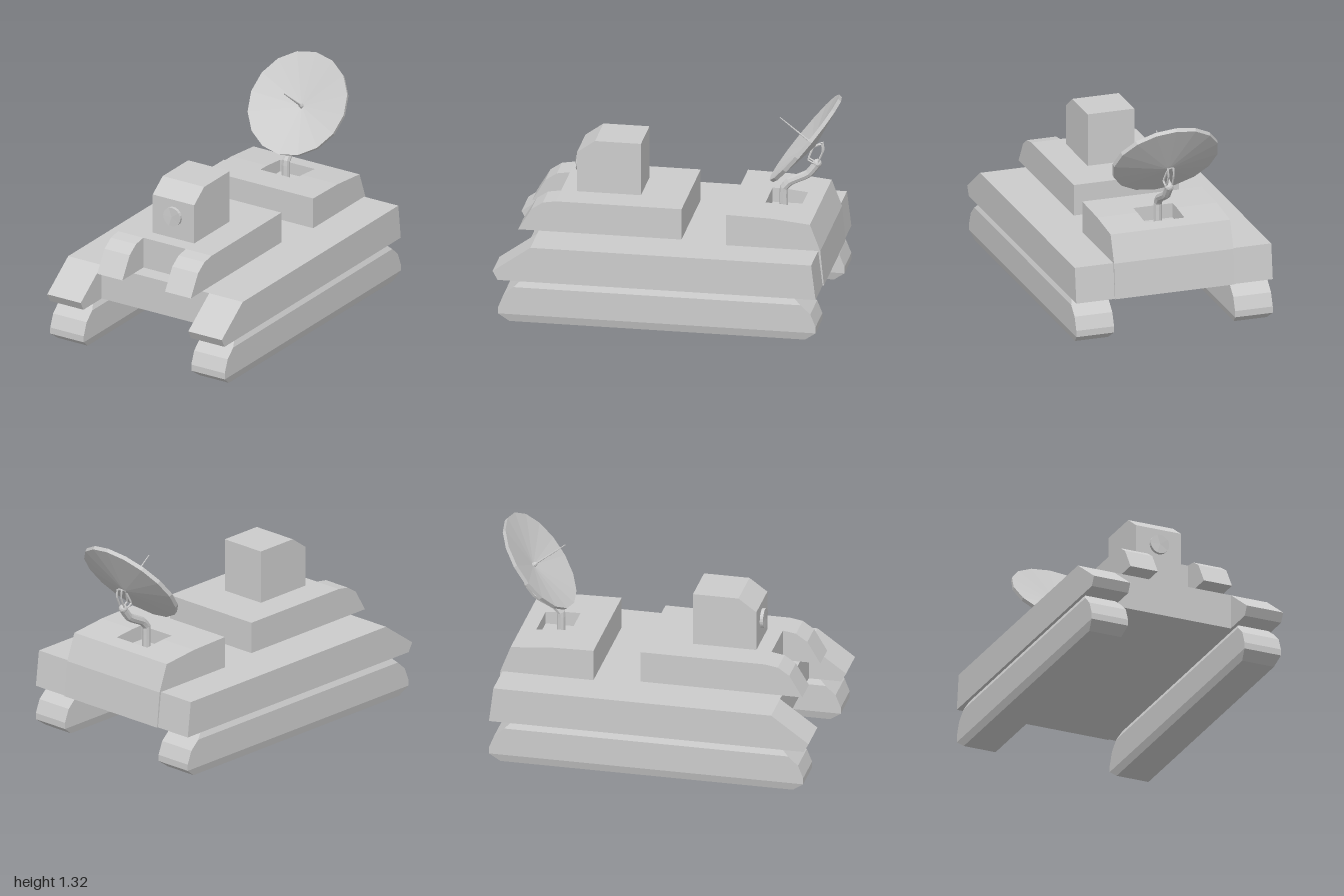
import * as THREE from 'three';

const material = new THREE.MeshStandardMaterial({ color: 0xcccccc, flatShading: true });
const thinMaterial = new THREE.MeshStandardMaterial({ color: 0xcccccc, flatShading: true, side: THREE.DoubleSide });

function add(parent, name, geometry, mat = material) {
  const mesh = new THREE.Mesh(geometry, mat);
  mesh.name = name;
  parent.add(mesh);
  return mesh;
}

// Side outline given as [z, y] points, extruded across x from x0 to x1
function slab(points, x0, x1) {
  const shape = new THREE.Shape(points.map(([z, y]) => new THREE.Vector2(z, y)));
  const geometry = new THREE.ExtrudeGeometry(shape, { depth: x1 - x0, bevelEnabled: false });
  return geometry.rotateY(-Math.PI / 2).translate(x1, 0, 0);
}

// Stack of rectangles given as [y, half width, half length]
function stack(levels) {
  const pos = [], index = [];
  for (const [y, w, l] of levels) pos.push(w, y, l, w, y, -l, -w, y, -l, -w, y, l);
  for (let i = 0; i < levels.length - 1; i++) {
    for (let j = 0; j < 4; j++) {
      const a = i * 4 + j, b = i * 4 + (j + 1) % 4;
      index.push(a, b, b + 4, a, b + 4, a + 4);
    }
  }
  const t = (levels.length - 1) * 4;
  index.push(t, t + 1, t + 2, t, t + 2, t + 3, 0, 2, 1, 0, 3, 2);
  const geometry = new THREE.BufferGeometry();
  geometry.setAttribute('position', new THREE.Float32BufferAttribute(pos, 3));
  geometry.setIndex(index);
  geometry.computeVertexNormals();
  return geometry;
}

// Pipe through [x, y, z] points
function pipe(points, radius, sides, steps) {
  const curve = new THREE.CatmullRomCurve3(points.map((p) => new THREE.Vector3(...p)), false, 'catmullrom', 0.15);
  return new THREE.TubeGeometry(curve, steps, radius, sides);
}

export function createModel() {
  const model = new THREE.Group();
  model.name = 'trackedDishVehicle';

  // Hull
  add(model, 'hullCentre', slab([[0.77, 0.265], [0.77, 0.485], [-0.94, 0.485], [-0.967, 0.265]], -0.385, 0.385));

  // Tracks and the fenders above them
  const trackLevels = [
    [0, 0.105, 0.9], [0.05, 0.12, 0.967], [0.09, 0.12, 0.967],
    [0.17, 0.12, 0.935], [0.225, 0.12, 0.874], [0.265, 0.1, 0.83],
  ];
  const fender = [[0.97, 0.265], [1, 0.32], [0.77, 0.485], [-0.94, 0.485], [-0.967, 0.265]];
  for (const side of [1, -1]) {
    const name = side > 0 ? 'left' : 'right';
    add(model, name + 'Track', stack(trackLevels)).position.x = side * 0.505;
    const x = side * 0.505;
    add(model, name + 'Fender', slab(fender, x - 0.12, x + 0.12));
  }

  // Front deck with two rounded prongs
  add(model, 'frontDeck', slab([[-0.1, 0.485], [0.665, 0.485], [0.665, 0.68], [-0.1, 0.68]], -0.335, 0.335));
  const prong = [[0.665, 0.485], [0.895, 0.485], [0.815, 0.62], [0.745, 0.667], [0.665, 0.68]];
  add(model, 'leftProng', slab(prong, 0.15, 0.335));
  add(model, 'rightProng', slab(prong, -0.335, -0.155));

  // Cabin with chamfered front
  add(model, 'cabin', slab([[0.18, 0.68], [0.57, 0.68], [0.57, 0.93], [0.46, 1.01], [0.18, 1.01]], -0.15, 0.147));

  // Round front fan: drum and five slightly twisted blades
  const fan = new THREE.Group();
  fan.name = 'frontFan';
  fan.position.set(0, 0.825, 0.57);
  model.add(fan);
  add(fan, 'fanDrum', new THREE.CylinderGeometry(0.06, 0.06, 0.02, 20).rotateX(Math.PI / 2).translate(0, 0, 0.01));
  for (let i = 0; i < 5; i++) {
    const blade = new THREE.CircleGeometry(0.06, 4, -Math.PI / 5, Math.PI * 0.4).rotateX(0.06).translate(0, 0, 0.0225);
    add(fan, 'fanBlade', blade.rotateZ(i * Math.PI * 0.4), thinMaterial);
  }

  // Rear deck, built around a square well, its back plate reaching down the hull
  const back = [[-0.89, 0.65], [-0.953, 0.485], [-0.975, 0.265], [-0.94, 0.265], [-0.92, 0.485]];
  const deckSide = [[-0.38, 0.485], [-0.38, 0.68], [-0.65, 0.674], ...back];
  add(model, 'rearDeckLeft', slab(deckSide, 0.125, 0.38));
  add(model, 'rearDeckRight', slab(deckSide, -0.38, -0.125));
  add(model, 'rearDeckFront', slab([[-0.38, 0.485], [-0.38, 0.68], [-0.575, 0.6757], [-0.575, 0.485]], -0.125, 0.125));
  add(model, 'rearDeckBack', slab([[-0.79, 0.485], [-0.79, 0.66], ...back], -0.125, 0.125));
  add(model, 'wellFloor', new THREE.BoxGeometry(0.25, 0.1, 0.215).translate(0, 0.535, -0.6825));

  // Bent mast and the fork holding the dish
  const mast = [[0, 0.57, -0.665], [0, 0.73, -0.665], [0, 0.775, -0.705], [0, 0.83, -0.815], [0, 0.9, -0.87]];
  add(model, 'mast', pipe(mast, 0.026, 8, 16), thinMaterial);
  add(model, 'mastHead', new THREE.IcosahedronGeometry(0.028, 1).translate(0, 0.9, -0.868));
  for (const x of [0.017, -0.017]) {
    add(model, 'rearStrut', pipe([[x, 0.9, -0.87], [x, 0.98, -0.903], [x, 1.03, -0.898], [0, 1.0, -0.84]], 0.006, 5, 12));
    add(model, 'frontStrut', pipe([[x, 0.9, -0.86], [x, 0.925, -0.815], [0, 1.0, -0.842]], 0.006, 5, 8));
  }

  // Dish with its feed rod, tilted up and forward
  const dish = new THREE.Group();
  dish.name = 'dish';
  dish.position.set(0, 1.062, -0.79);
  dish.rotation.x = 0.902;
  model.add(dish);
  const profile = [[0, -0.085], [0.03, -0.08], [0.328, -0.024], [0.331, 0], [0, -0.06]];
  add(dish, 'reflector', new THREE.LatheGeometry(profile.map(([r, y]) => new THREE.Vector2(r, y)), 16));
  const rod = [[0.016, -0.06], [0.014, -0.045], [0.006, -0.03], [0.003, 0.19], [0, 0.19]];
  add(dish, 'feedRod', new THREE.LatheGeometry(rod.map(([r, y]) => new THREE.Vector2(r, y)), 8));

  return model;
}
